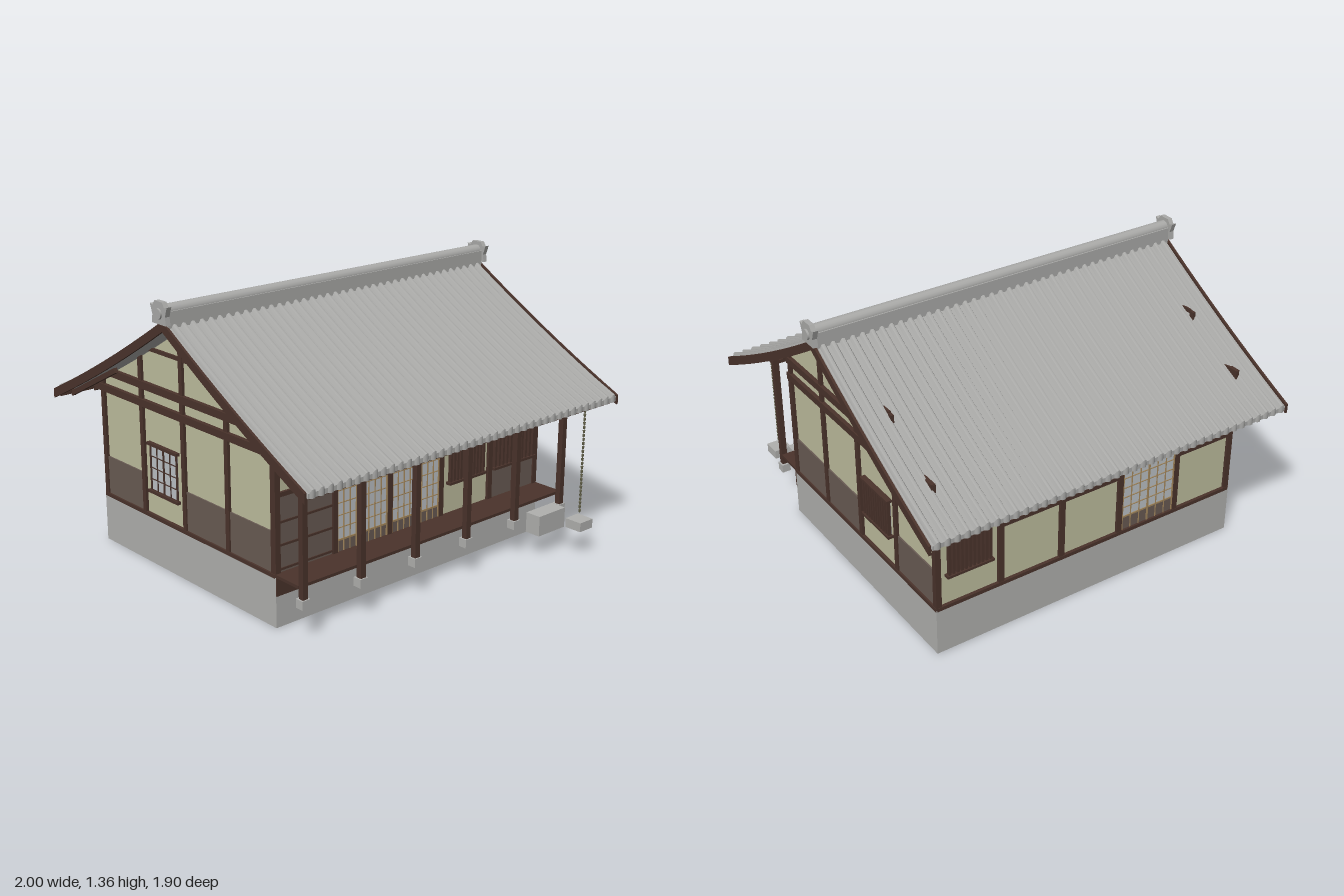
import * as THREE from 'three';
import { toCreasedNormals } from 'three/addons/utils/BufferGeometryUtils.js';

const mat = (name, color) => Object.assign(new THREE.MeshStandardMaterial({ color }), { name });
const timber = mat('dark timber', 0x4a332b);
const board = mat('brown boarding', 0x695b53);
const plaster = mat('plaster', 0xbebd9e);
const stone = mat('stone', 0xb0b0ae);
const tile = mat('roof tile', 0xaaaaa8);
const paper = mat('window paper', 0xbcc1c5);
const lattice = mat('light lattice wood', 0xa2865c);
const chainMetal = mat('chain metal', 0x66644c);

// Roof line: height at distance d from the ridge, with a slight sag
const ZC = -0.008, HALF = 0.933;
const roofY = d => 1.272 - 0.62 * d + 0.077 * d * d;

function add(parent, name, geo, material) {
  const mesh = new THREE.Mesh(geo, material);
  mesh.name = name;
  parent.add(mesh);
  return mesh;
}

// Box from its limits
function block(parent, name, material, x0, x1, y0, y1, z0, z1) {
  const m = add(parent, name, new THREE.BoxGeometry(x1 - x0, y1 - y0, z1 - z0), material);
  m.position.set((x0 + x1) / 2, (y0 + y1) / 2, (z0 + z1) / 2);
  return m;
}

// Extrude a (z, y) outline along x, ending at x1
function alongX(parent, name, material, pts, x0, x1) {
  const shape = new THREE.Shape(pts.map(p => new THREE.Vector2(p[0], p[1])));
  const geo = new THREE.ExtrudeGeometry(shape, { depth: x1 - x0, bevelEnabled: false });
  geo.rotateY(-Math.PI / 2);
  const m = add(parent, name, geo, material);
  m.position.x = x1;
  return m;
}

// A wall face: local x runs along the wall, local z points outwards
function facade(parent, name, x, z, turn) {
  const g = new THREE.Group();
  g.name = name;
  g.position.set(x, 0, z);
  g.rotation.y = turn;
  parent.add(g);
  return g;
}

function barredWindow(g, u0, u1, y0, y1) {
  block(g, 'windowBacking', paper, u0, u1, y0, y1, 0, 0.006);
  const n = 11;
  for (let i = 0; i < n; i++) {
    const u = u0 + (u1 - u0) * i / (n - 1);
    block(g, 'windowBar', timber, u - 0.006, u + 0.006, y0, y1, 0.005, 0.022);
  }
  for (const y of [y0, y1])
    block(g, 'windowRail', timber, u0 - 0.015, u1 + 0.015, y - 0.006, y + 0.006, 0, 0.028);
}

function paperPanel(g, u0, u1, y0, y1, cols, rows, wood, skirt = 0) {
  block(g, 'paperPanel', paper, u0, u1, y0 + skirt, y1, 0, 0.006);
  if (skirt) block(g, 'doorSkirt', board, u0, u1, y0, y0 + skirt, 0, 0.007);
  for (let i = 0; i <= cols; i++) {
    const u = u0 + (u1 - u0) * i / cols, w = i % (cols / 2) ? 0.0018 : 0.0045;
    block(g, 'latticeUpright', wood, u - w, u + w, y0, y1, 0.004, 0.011);
  }
  for (let i = 0; i <= rows; i++) {
    const y = y0 + skirt + (y1 - y0 - skirt) * i / rows, w = i % rows ? 0.0018 : 0.004;
    block(g, 'latticeRail', wood, u0, u1, y - w, y + w, 0.004, 0.01);
  }
}

function buildFoundation(house) {
  const X = 0.835, T = 0.012;
  block(house, 'foundationFront', stone, -X, X, 0, 0.235, 0.565 - T, 0.565);
  block(house, 'foundationBack', stone, -X, X, 0, 0.235, -0.75, -0.75 + T);
  for (const s of [-1, 1]) {
    const m = block(house, 'foundationSide', stone, -T / 2, T / 2, 0, 0.235, -0.75 + T, 0.565 - T);
    m.position.x = s * (X - T / 2);
  }
  block(house, 'foundationFloor', stone, -X + T, X - T, 0.2, 0.234, -0.75 + T, 0.565 - T);
}

function buildWalls(house) {
  // Solid plaster body following the roof line
  const pts = [[0.55, 0.235]];
  for (let i = 0; i <= 24; i++) {
    const z = 0.55 - 1.285 * i / 24;
    pts.push([z, Math.min(1.195, roofY(Math.abs(z - ZC)) - 0.03)]);
  }
  pts.push([-0.735, 0.235]);
  alongX(house, 'plasterBody', plaster, pts.reverse(), -0.82, 0.82);

  const postX = [-0.82, -0.495, -0.165, 0.163, 0.495, 0.82];
  const front = facade(house, 'frontWall', 0, 0.55, 0);
  const back = facade(house, 'backWall', 0, -0.735, Math.PI);
  for (const g of [front, back]) {
    for (const u of postX) block(g, 'wallPost', timber, u - 0.014, u + 0.014, 0.235, 0.8, -0.01, 0.014);
    block(g, 'wallSill', timber, -0.83, 0.83, 0.23, 0.248, 0, 0.016);
    block(g, 'wallPlate', timber, -0.83, 0.83, 0.77, 0.805, 0, 0.018);
  }

  // Front bays
  block(front, 'lintel', timber, -0.82, 0.82, 0.595, 0.615, 0, 0.014);
  block(front, 'skirtBoard', timber, -0.835, 0.835, 0.15, 0.25, 0.012, 0.021);
  block(front, 'boardDoors', board, -0.806, -0.51, 0.25, 0.595, 0, 0.007);
  for (const y of [0.265, 0.375, 0.48])
    block(front, 'doorBatten', timber, -0.806, -0.51, y - 0.005, y + 0.005, 0, 0.012);
  block(front, 'doorSeam', timber, -0.662, -0.656, 0.25, 0.595, 0, 0.011);
  for (const u of [-0.48, -0.15]) paperPanel(front, u, u + 0.298, 0.25, 0.595, 8, 5, lattice, 0.055);
  barredWindow(front, 0.22, 0.44, 0.4, 0.59);
  block(front, 'boardPanel', board, 0.51, 0.806, 0.25, 0.4, 0, 0.007);
  block(front, 'panelSeam', timber, 0.654, 0.664, 0.25, 0.4, 0, 0.012);
  barredWindow(front, 0.525, 0.795, 0.4, 0.59);

  // Back bays, counted from the +x end
  barredWindow(back, -0.765, -0.555, 0.4, 0.59);
  for (const [a, b] of [[-0.495, -0.165], [-0.165, 0.163], [0.495, 0.82]])
    block(back, 'midRail', timber, a, b, 0.54, 0.56, 0, 0.012);
  paperPanel(back, 0.18, 0.48, 0.25, 0.585, 6, 5, lattice, 0.07);
  block(back, 'doorHead', timber, 0.163, 0.495, 0.585, 0.603, 0, 0.014);

  // Gable ends
  const posts = [[0.545, 0.9], [0.23, 1.1], [-0.092, 1.18], [-0.413, 1.06], [-0.735, 0.89]];
  for (const s of [-1, 1]) {
    const g = facade(house, s > 0 ? 'rightGable' : 'leftGable', s * 0.82, 0, s * Math.PI / 2);
    const span = (name, m, z0, z1, y0, y1, out) =>
      block(g, name, m, Math.min(-s * z0, -s * z1), Math.max(-s * z0, -s * z1), y0, y1, 0, out);
    for (const [z, top] of posts) span('gablePost', timber, z - 0.013, z + 0.013, 0.235, top, 0.014);
    span('gableSill', timber, 0.56, -0.748, 0.23, 0.248, 0.016);
    span('gableBeam', timber, 0.562, -0.765, 0.77, 0.805, 0.02);
    span('upperGableBeam', timber, 0.56, -0.745, 0.857, 0.893, 0.02);
    span('collarRail', timber, 0.23, -0.4, 1.048, 1.066, 0.011);
    for (const [z0, z1] of [[0.532, 0.243], [0.217, -0.079], [-0.426, -0.722]])
      span('wainscot', board, z0, z1, 0.248, 0.437, 0.007);
    if (s > 0) barredWindow(g, 0.15, 0.36, 0.4, 0.592);
    else {
      paperPanel(g, -0.355, -0.15, 0.37, 0.595, 4, 4, timber);
      for (const y of [0.365, 0.6]) block(g, 'windowRail', timber, -0.37, -0.135, y - 0.007, y + 0.007, 0, 0.02);
    }
  }
}

function buildRoof(house) {
  // Ribbed tile sheet: one box bent over the ridge
  const W = 1.92, COLS = 40;
  const geo = new THREE.BoxGeometry(W, 2, 2 * HALF, COLS * 6, 1, 16);
  const p = geo.attributes.position;
  for (let i = 0; i < p.count; i++) {
    const x = p.getX(i), z = p.getZ(i), d = Math.abs(z);
    const t = ((x + W / 2) * COLS / W + 1e-4) % 1;
    const rib = 0.017 * Math.sqrt(Math.max(0, 1 - ((t - 0.5) / 0.33) ** 2));
    const end = d > HALF - 0.001 ? Math.sign(z) * rib * 0.5 : 0;
    p.setXYZ(i, x, roofY(d) + (p.getY(i) > 0 ? rib - 0.006 : -0.028), z + ZC + end);
  }
  add(house, 'roofTiles', toCreasedNormals(geo, 0.6), tile);

  // Bargeboards on both gables
  const top = [], under = [];
  for (let i = 0; i <= 20; i++) {
    const z = HALF * (i / 10 - 1);
    top.push([z + ZC, roofY(Math.abs(z))]);
    under.unshift([z + ZC, roofY(Math.abs(z)) - 0.046]);
  }
  for (const x of [-0.978, 0.966]) alongX(house, 'bargeboard', timber, [...under, ...top], x, x + 0.012);

  // Rafters and eave boards
  const slope = 0.51;
  for (const s of [-1, 1]) {
    for (let i = -7; i <= 7; i++) {
      const r = add(house, 'rafter', new THREE.BoxGeometry(0.02, 0.024, 0.44), timber);
      r.position.set(i * 0.127, roofY(0.71) - 0.045, ZC + s * 0.71);
      r.rotation.x = s * Math.atan(slope);
    }
    const e = block(house, 'eaveBoard', timber, -0.96, 0.96, -0.009, 0.009, -0.012, 0.012);
    e.position.set(0, roofY(0.912) - 0.036, ZC + s * 0.912);
  }

  // Ridge with rounded cap and end ornaments
  block(house, 'ridgeBase', tile, -0.97, 0.97, 1.24, 1.318, ZC - 0.036, ZC + 0.036);
  const cap = add(house, 'ridgeCap', new THREE.CylinderGeometry(0.03, 0.03, 1.94, 16), tile);
  cap.rotation.z = Math.PI / 2;
  cap.position.set(0, 1.316, ZC);
  const half = [[0.052, 1.262], [0.046, 1.3], [0.062, 1.345], [0.042, 1.34], [0.028, 1.362]];
  const outline = [...half, ...half.map(([z, y]) => [-z, y]).reverse()].map(([z, y]) => [z + ZC, y]);
  for (const s of [-1, 1]) {
    alongX(house, 'ridgeOrnament', tile, outline, s * 0.979 - 0.012, s * 0.979 + 0.012);
    const disc = add(house, 'ornamentDisc', new THREE.CylinderGeometry(0.025, 0.025, 0.012, 16), tile);
    disc.rotation.z = Math.PI / 2;
    disc.position.set(s * 0.994, 1.308, ZC);
  }
}

function buildVeranda(house) {
  block(house, 'verandaFloor', timber, -0.835, 0.835, 0.236, 0.25, 0.56, 0.715);
  block(house, 'verandaBeam', timber, -0.84, 0.84, 0.772, 0.803, 0.708, 0.748);
  for (const x of [-0.82, -0.493, -0.165, 0.163, 0.493, 0.82]) {
    block(house, 'verandaPost', timber, x - 0.014, x + 0.014, 0.19, 0.775, 0.714, 0.742);
    block(house, 'postStone', stone, x - 0.022, x + 0.022, 0.15, 0.192, 0.704, 0.748);
  }
  block(house, 'steppingStone', stone, 0.565, 0.75, 0.115, 0.215, 0.742, 0.824);
  // Rain chain of small cups over its catch stone
  block(house, 'catchStone', stone, 0.715, 0.805, 0.135, 0.18, 0.86, 0.95);
  for (let i = 0; i < 26; i++) {
    const cup = add(house, 'chainCup', new THREE.CylinderGeometry(0.007, 0.005, 0.013, 6), chainMetal);
    cup.position.set(0.76, 0.22 + i * 0.02, 0.905);
  }
  const cord = add(house, 'chainCord', new THREE.CylinderGeometry(0.0015, 0.0015, 0.52, 5), chainMetal);
  cord.position.set(0.76, 0.475, 0.905);
}

export function createModel() {
  const house = new THREE.Group();
  house.name = 'house';
  buildFoundation(house);
  buildWalls(house);
  buildRoof(house);
  buildVeranda(house);
  return house;
}
